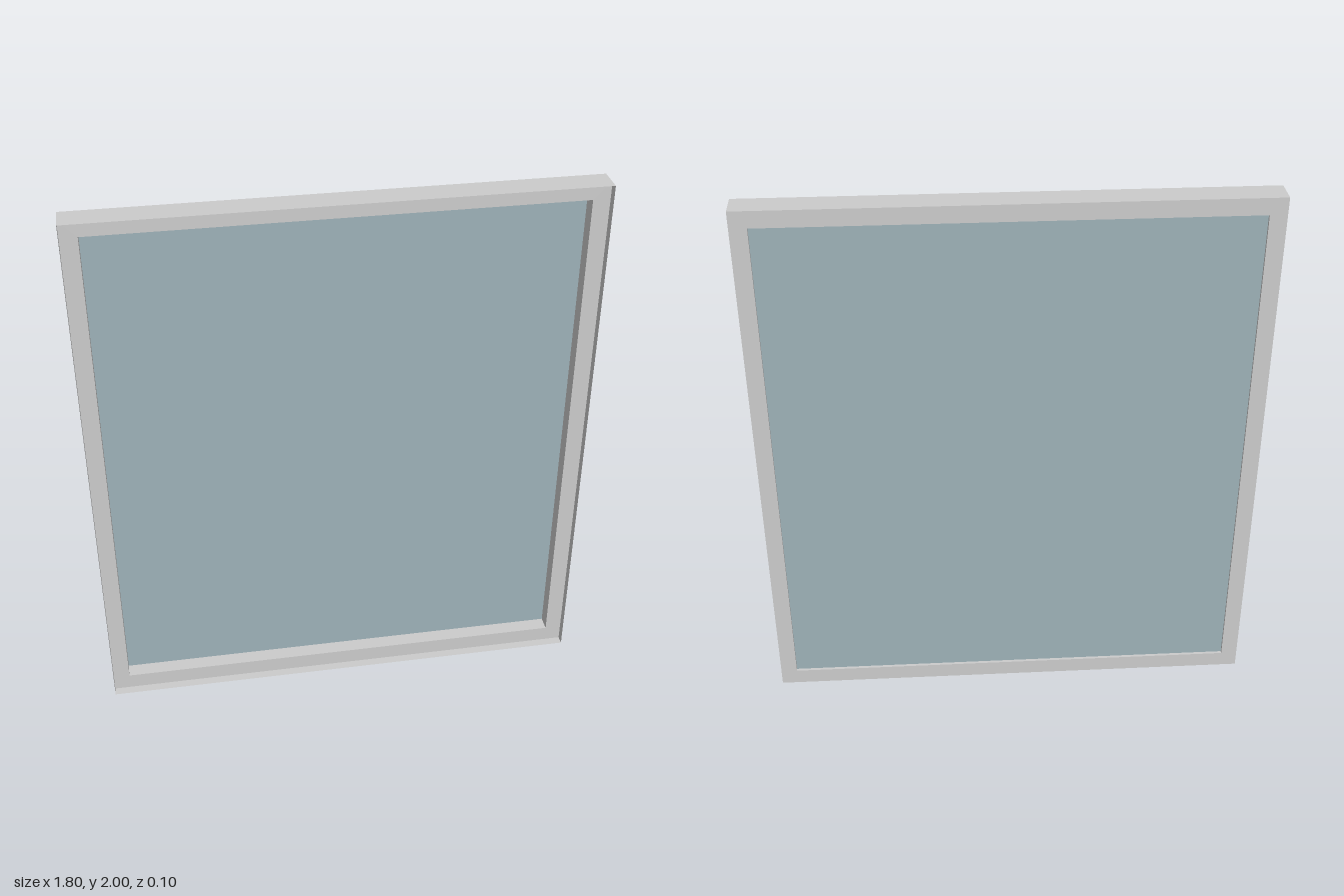
import * as THREE from 'three';

const HALF_W = 0.9, HEIGHT = 2;
const RAIL = 0.06;      // visible width of the frame
const BACK = -0.05, FRONT = 0.05;
const FACE = 0.017;     // front face, set back inside the thin outer lip
const PANE_Z = -0.039;

// Sweep a profile of [inset, z] points round the rectangle with mitred corners
function sweepRectangle(profile) {
  const corners = [[1, 1], [-1, 1], [-1, -1], [1, -1]];
  const point = ([sx, sy], [inset, z]) => [
    sx * (HALF_W - inset),
    HEIGHT / 2 + sy * (HEIGHT / 2 - inset),
    z,
  ];
  const positions = [];
  corners.forEach((corner, i) => {
    const next = corners[(i + 1) % 4];
    for (let j = 0; j < profile.length - 1; j++) {
      const a = point(corner, profile[j]);
      const b = point(corner, profile[j + 1]);
      const c = point(next, profile[j + 1]);
      const d = point(next, profile[j]);
      positions.push(...a, ...b, ...c, ...a, ...c, ...d);
    }
  });
  const geometry = new THREE.BufferGeometry();
  geometry.setAttribute('position', new THREE.Float32BufferAttribute(positions, 3));
  geometry.computeVertexNormals();
  return geometry;
}

export function createModel() {
  const group = new THREE.Group();
  group.name = 'framedPane';

  // Frame: outer wall with lip, back face, inner reveal, recessed front face
  const frame = new THREE.Mesh(
    sweepRectangle([[0, FRONT], [0, BACK], [RAIL, BACK], [RAIL, FACE], [0, FACE]]),
    new THREE.MeshStandardMaterial({ color: 0xcccccc, side: THREE.DoubleSide })
  );
  frame.name = 'frame';
  group.add(frame);

  // Thin pane filling the opening, near the back
  const pane = new THREE.Mesh(
    new THREE.PlaneGeometry(2 * (HALF_W - RAIL), HEIGHT - 2 * RAIL),
    new THREE.MeshStandardMaterial({ color: 0x9db1b8, side: THREE.DoubleSide })
  );
  pane.name = 'pane';
  pane.position.set(0, HEIGHT / 2, PANE_Z);
  group.add(pane);

  return group;
}
